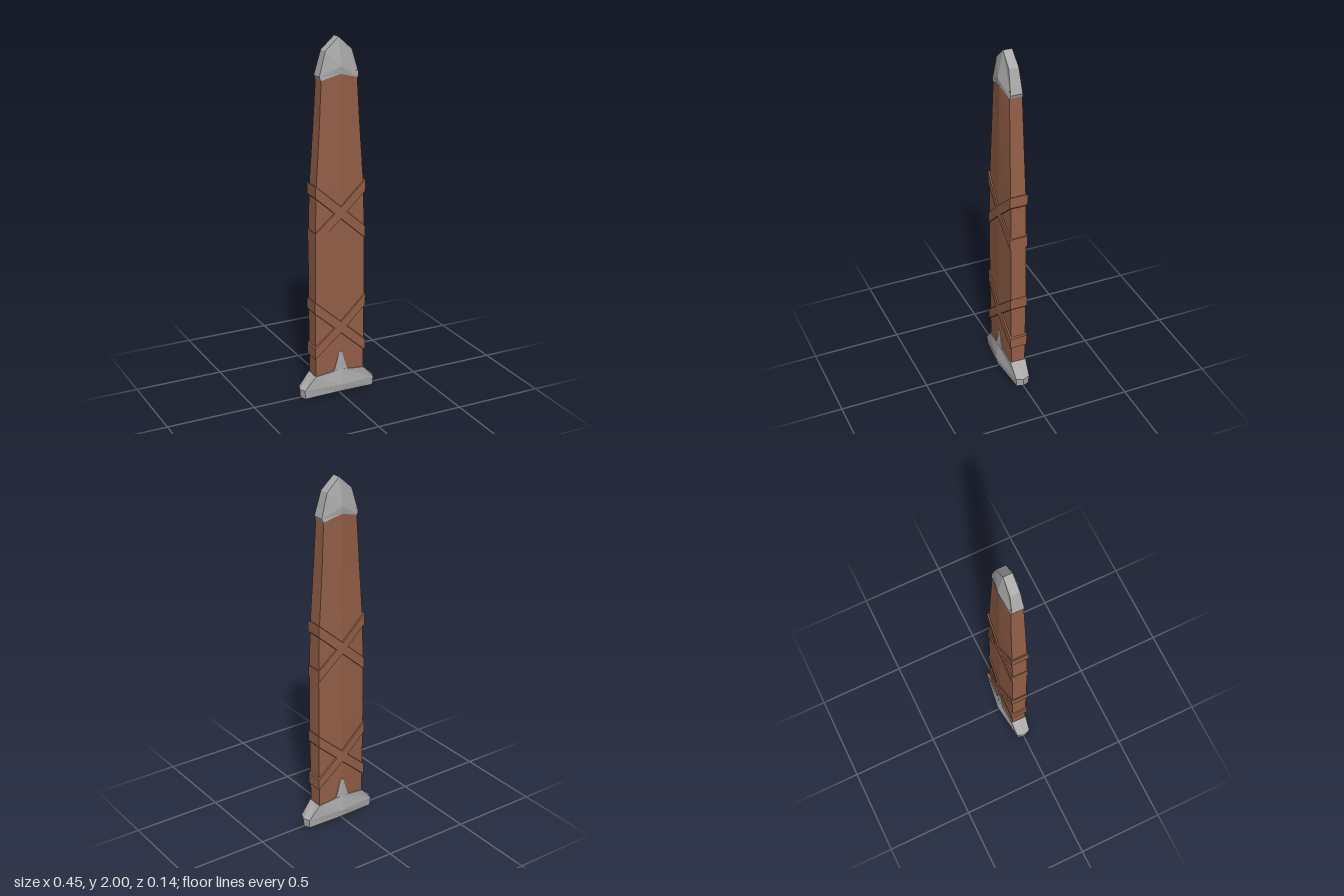
import * as THREE from 'three';

const leather = new THREE.MeshStandardMaterial({ color: 0x935f47 });
leather.name = 'brown leather';
const metal = new THREE.MeshStandardMaterial({ color: 0xaaaaaa });
metal.name = 'grey metal';

// Eight-point cross-section: half width w at depth e, middle ridge at depth c,
// tip at x = end on each narrow side. ySide and yMid are the heights there.
function ring(w, e, c, ySide, yMid = ySide, end = w) {
  return [
    [end, ySide, 0], [w, ySide, e], [0, yMid, c], [-w, ySide, e],
    [-end, ySide, 0], [-w, ySide, -e], [0, yMid, -c], [w, ySide, -e],
  ];
}

// Joins cross-sections from bottom to top, with faceted sides and optional caps.
function loft(rings, capped = true) {
  const pos = [];
  const quad = (a, b, c, d) => pos.push(...a, ...b, ...c, ...a, ...c, ...d);
  const n = rings[0].length;
  for (let j = 0; j < rings.length - 1; j++) {
    const lo = rings[j], hi = rings[j + 1];
    for (let i = 0; i < n; i++) {
      const k = (i + 1) % n;
      quad(lo[i], hi[i], hi[k], lo[k]);
    }
  }
  if (capped) {
    const bottom = rings[0], top = rings[rings.length - 1];
    for (let i = 0; i < n / 2; i++) {
      const a = i, b = i + 1, c = n - i - 1, d = (n - i) % n;
      quad(bottom[a], bottom[b], bottom[c], bottom[d]);
      quad(top[d], top[c], top[b], top[a]);
    }
  }
  const geo = new THREE.BufferGeometry();
  geo.setAttribute('position', new THREE.Float32BufferAttribute(pos, 3));
  geo.computeVertexNormals();
  return geo;
}

export function createModel() {
  const group = new THREE.Group();
  const add = (name, geo, mat) => {
    const mesh = new THREE.Mesh(geo, mat);
    mesh.name = name;
    group.add(mesh);
  };

  // Tapering leather body
  add('sheathBody', loft([
    ring(0.146, 0.041, 0.051, 0.08),
    ring(0.148, 0.044, 0.052, 0.6),
    ring(0.147, 0.044, 0.052, 0.9),
    ring(0.14, 0.043, 0.052, 1.2),
    ring(0.118, 0.039, 0.05, 1.53),
    ring(0.102, 0.034, 0.047, 1.82),
  ]), leather);

  // Crossed straps: each is a tilted band running right around the body
  const strap = (y, tilt, w) => {
    const level = (dy, grow) =>
      ring(w + grow, 0.044 + grow, 0.053 + grow, 0)
        .map(([x, , z]) => [x, y + dy + tilt * x, z]);
    return loft([
      level(-0.036, -0.004), level(-0.032, 0.006),
      level(0.032, 0.006), level(0.036, -0.004),
    ], false);
  };
  for (const [label, y, w] of [['lower', 0.4, 0.147], ['upper', 1.06, 0.142]]) {
    add(label + 'StrapA', strap(y, 0.89, w), leather);
    add(label + 'StrapB', strap(y, -0.89, w), leather);
  }

  // Flared metal collar at the mouth, slightly dished underneath
  add('collar', loft([
    ring(0.01, 0.004, 0.006, 0.03),
    ring(0.209, 0.036, 0.064, 0.0, 0.018, 0.222),
    ring(0.212, 0.04, 0.071, 0.05, 0.06, 0.227),
    ring(0.148, 0.046, 0.058, 0.125, 0.148),
  ]), metal);

  // Pointed tongue rising from the collar on front and back
  add('collarTongue', loft([
    ring(0.046, 0.055, 0.058, 0.13),
    ring(0.036, 0.054, 0.057, 0.155),
    ring(0.024, 0.053, 0.056, 0.195),
    ring(0.009, 0.053, 0.054, 0.25),
  ]), metal);

  // Metal tip with a narrow roof-shaped top
  add('tip', loft([
    ring(0.107, 0.036, 0.05, 1.78, 1.81),
    ring(0.114, 0.033, 0.054, 1.8, 1.85),
    ring(0.077, 0.027, 0.025, 1.93, 2.0),
  ]), metal);

  return group;
}
